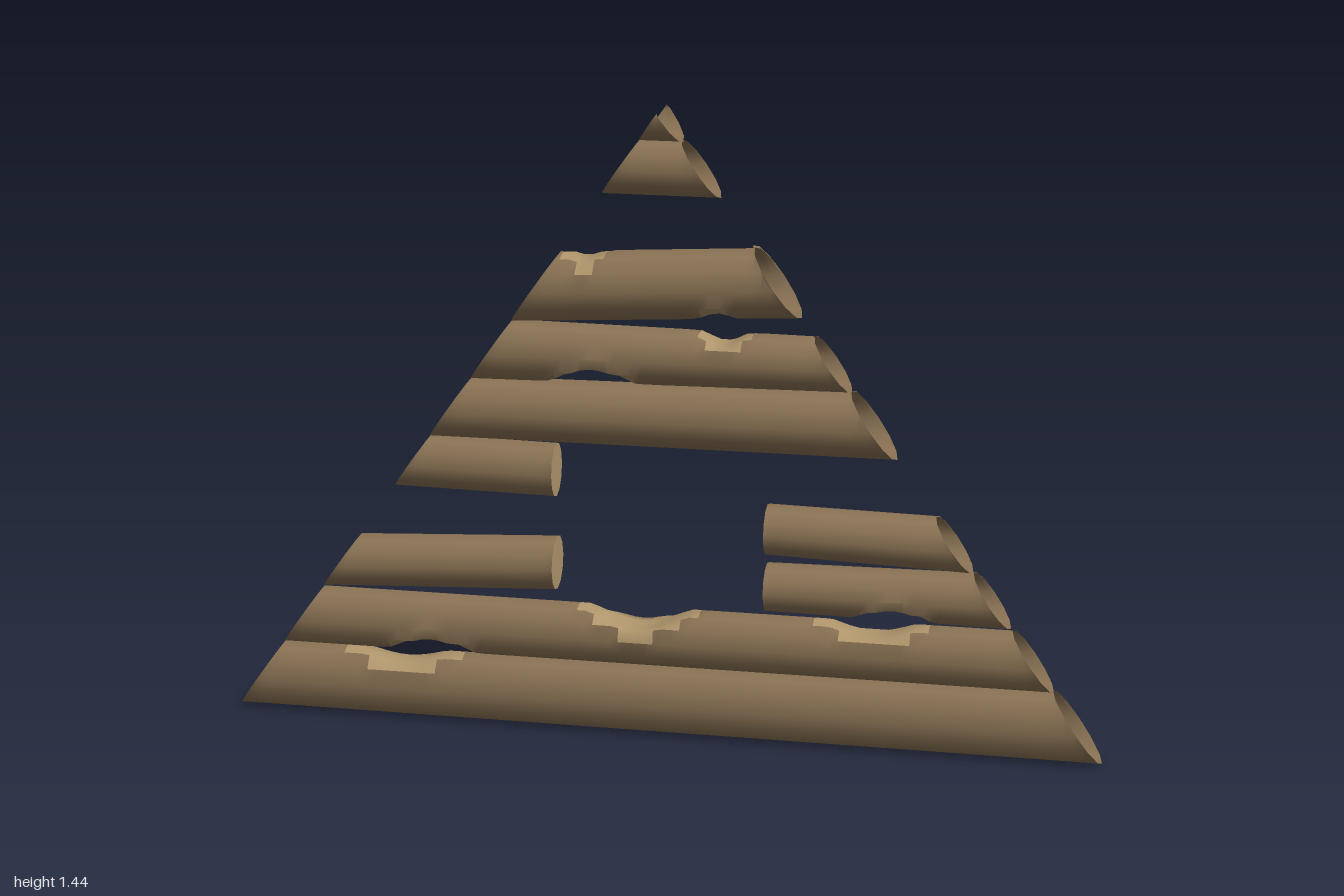
import * as THREE from 'three';
import { mergeVertices } from 'three/addons/utils/BufferGeometryUtils.js';

const APEX = 1.44, SIDES = 12, DOOR = 0.24;

// Half width of the gable at height y
const gableHalf = y => 1 - y / APEX;

// bottom and top height at the left and right end, d: half depth,
// side: -1 or 1 for logs that stop at the doorway,
// notches: [centre x, half width, depth], with a negative depth cutting the underside
const LOGS = [
  { name: 'logBottom', l: [0, 0.16], r: [0, 0.165], d: 0.057, notches: [[-0.6, 0.16, 0.027]] },
  { name: 'logSecond', l: [0.16, 0.3], r: [0.162, 0.3], d: 0.055,
    notches: [[-0.05, 0.17, 0.044], [0.48, 0.15, 0.031], [-0.53, 0.15, -0.043]] },
  { name: 'logThirdLeft', side: -1, l: [0.305, 0.427], r: [0.33, 0.455], d: 0.06 },
  { name: 'logThirdRight', side: 1, l: [0.312, 0.422], r: [0.305, 0.43], d: 0.058, notches: [[0.53, 0.13, -0.037]] },
  { name: 'logFourthRight', side: 1, l: [0.445, 0.56], r: [0.43, 0.553], d: 0.06 },
  { name: 'logFourthLeft', side: -1, l: [0.555, 0.68], r: [0.55, 0.675], d: 0.055 },
  { name: 'logFifth', l: [0.677, 0.82], r: [0.68, 0.832], d: 0.068 },
  { name: 'logSixth', l: [0.815, 0.957], r: [0.828, 0.95], d: 0.06, notches: [[0.14, 0.08, 0.028], [-0.15, 0.14, -0.044]] },
  { name: 'logSeventh', l: [0.952, 1.11], r: [0.99, 1.148], d: 0.077, notches: [[-0.17, 0.07, 0.018], [0.13, 0.08, -0.022]] },
  { name: 'logEighth', l: [1.25, 1.375], r: [1.25, 1.375], d: 0.058 },
  { name: 'tip', l: [1.37, 1.49], r: [1.37, 1.49], d: 0.065 },
];

// One cross-section of a log at fraction t, trimmed by the notches and the gable slope
function section(log, x, t) {
  const bottom = THREE.MathUtils.lerp(log.l[0], log.r[0], t);
  const top = THREE.MathUtils.lerp(log.l[1], log.r[1], t);
  let low = bottom, high = top;
  for (const [centre, half, depth] of log.notches ?? []) {
    const u = Math.min(1, Math.abs(x - centre) / half);
    const cut = depth * (1 + Math.cos(Math.PI * u)) / 2;
    if (depth > 0) high -= cut;
    else low -= cut;
  }
  const points = [];
  for (let k = 0; k < SIDES; k++) {
    const a = k / SIDES * Math.PI * 2;
    const round = (bottom + top) / 2 + Math.cos(a) * (top - bottom) / 2;
    const trimmed = THREE.MathUtils.clamp(round, low, high);
    const y = Math.min(trimmed, APEX);
    const limit = gableHalf(y);
    const p = new THREE.Vector3(THREE.MathUtils.clamp(x, -limit, limit), y, Math.sin(a) * log.d);
    points.push({ p, chipped: Math.abs(trimmed - round) > 0.001 });
  }
  return points;
}

// Adds a triangle unless it has collapsed
function addTriangle(out, a, b, c) {
  if (new THREE.Triangle(a, b, c).getArea() < 1e-8) return;
  for (const v of [a, b, c]) out.push(v.x, v.y, v.z);
}

function addMesh(group, name, positions, material) {
  if (!positions.length) return;
  const soup = new THREE.BufferGeometry();
  soup.setAttribute('position', new THREE.Float32BufferAttribute(positions, 3));
  const geometry = mergeVertices(soup, 1e-5);
  geometry.computeVertexNormals();
  const mesh = new THREE.Mesh(geometry, material);
  mesh.name = name;
  group.add(mesh);
}

function buildLog(log, bark, cutWood) {
  const group = new THREE.Group();
  group.name = log.name;

  // Cross-sections from end to end
  const x0 = log.side === 1 ? DOOR : -gableHalf(log.l[0]);
  const x1 = log.side === -1 ? -DOOR : gableHalf(log.r[0]);
  const steps = Math.max(8, Math.ceil((x1 - x0) / 0.02));
  const rings = [];
  for (let i = 0; i <= steps; i++) rings.push(section(log, x0 + (x1 - x0) * i / steps, i / steps));

  // Bark skin and pale chipped faces
  const skin = [], chips = [], sawn = [];
  for (let i = 0; i < steps; i++) {
    for (let k = 0; k < SIDES; k++) {
      const m = (k + 1) % SIDES;
      const [a, b, c, d] = [rings[i][k], rings[i][m], rings[i + 1][k], rings[i + 1][m]];
      const out = [a, b, c, d].filter(v => v.chipped).length >= 2 ? chips : skin;
      addTriangle(out, a.p, b.p, c.p);
      addTriangle(out, b.p, d.p, c.p);
    }
  }

  // Sawn end beside the doorway
  if (log.side) {
    const ring = log.side < 0 ? rings[steps] : rings[0];
    for (let k = 1; k + 1 < SIDES; k++) {
      const [b, c] = log.side < 0 ? [k + 1, k] : [k, k + 1];
      addTriangle(sawn, ring[0].p, ring[b].p, ring[c].p);
    }
  }

  addMesh(group, 'bark', skin, bark);
  addMesh(group, 'chip', chips, cutWood);
  addMesh(group, 'sawnEnd', sawn, cutWood);
  return group;
}

export function createModel() {
  // Both sides show, as the slanted log ends are open
  const bark = new THREE.MeshStandardMaterial({ color: 0x8b7355, side: THREE.DoubleSide });
  bark.name = 'bark';
  const cutWood = new THREE.MeshStandardMaterial({ color: 0xb0966c, side: THREE.DoubleSide });
  cutWood.name = 'cutWood';

  const model = new THREE.Group();
  model.name = 'logGable';
  for (const log of LOGS) model.add(buildLog(log, bark, cutWood));
  return model;
}
